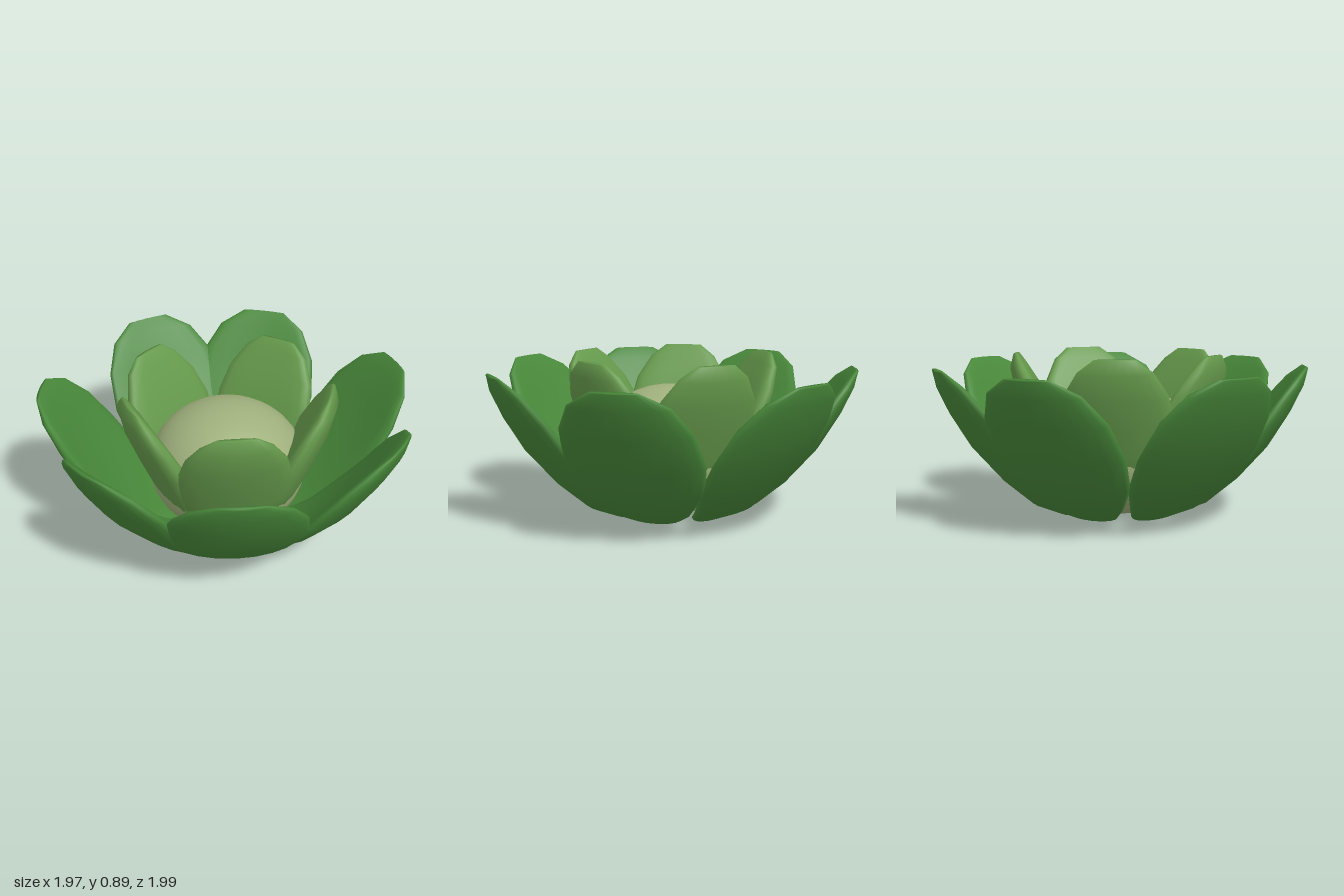
import * as THREE from 'three';

const SIDES = 20;

// Cupped petal, a flat pad with rounded rims in cross-section; rows run tip to base: [radius, height, halfWidth, halfThickness]
function petalGeometry(rows, cup) {
  const pos = [], idx = [];
  rows.forEach(([r, y, w, t], i) => {
    const a = rows[Math.max(i - 1, 0)], b = rows[Math.min(i + 1, rows.length - 1)];
    const n = new THREE.Vector2(a[1] - b[1], b[0] - a[0]).normalize();
    for (let j = 0; j < SIDES; j++) {
      const ang = (j / SIDES) * Math.PI * 2, sin = Math.sin(ang);
      const x = w * Math.cos(ang), s = t * Math.sign(sin) * Math.abs(sin) ** 0.75;
      pos.push(x, y + n.y * s, r + n.x * s - cup * x * x);
    }
  });
  for (let i = 0; i < rows.length - 1; i++) {
    for (let j = 0; j < SIDES; j++) {
      const k = (j + 1) % SIDES;
      const A = i * SIDES + j, B = i * SIDES + k, C = A + SIDES, D = B + SIDES;
      idx.push(A, B, D, A, D, C);
    }
  }
  // close the tip and the base
  const last = (rows.length - 1) * SIDES, tip = pos.length / 3, base = tip + 1;
  const end = rows[rows.length - 1];
  pos.push(0, rows[0][1], rows[0][0], 0, end[1], end[0]);
  for (let j = 0; j < SIDES; j++) {
    const k = (j + 1) % SIDES;
    idx.push(tip, k, j, base, last + j, last + k);
  }
  const g = new THREE.BufferGeometry();
  g.setAttribute('position', new THREE.Float32BufferAttribute(pos, 3));
  g.setIndex(idx);
  g.computeVertexNormals();
  return g;
}

// Ring of equal petals at the given headings (degrees from +x towards -z)
function petalRing(name, geometry, color, headings) {
  const ring = new THREE.Group();
  ring.name = name + 's';
  const material = new THREE.MeshStandardMaterial({ color });
  headings.forEach((deg) => {
    const petal = new THREE.Mesh(geometry, material);
    petal.name = name;
    petal.rotation.y = THREE.MathUtils.degToRad(deg + 90);
    ring.add(petal);
  });
  return ring;
}

export function createModel() {
  const flower = new THREE.Group();
  flower.name = 'flower';

  // flattened round heart
  const heart = new THREE.Mesh(
    new THREE.SphereGeometry(0.435, 32, 20),
    new THREE.MeshStandardMaterial({ color: 0x9fb07c })
  );
  heart.name = 'heart';
  heart.scale.y = 0.36 / 0.435;
  heart.position.y = 0.361;
  flower.add(heart);

  // upright inner petals
  const inner = petalGeometry([
    [0.56, 0.885, 0.105, 0.015], [0.55, 0.82, 0.19, 0.045], [0.505, 0.7, 0.265, 0.065],
    [0.44, 0.55, 0.3, 0.075], [0.385, 0.4, 0.295, 0.07], [0.33, 0.25, 0.24, 0.06],
    [0.24, 0.13, 0.16, 0.04], [0.15, 0.07, 0.07, 0.01],
  ], 0.5);
  flower.add(petalRing('innerPetal', inner, 0x669a4c, [86, 15, -57, -126, 170]));

  // spreading outer petals
  const outer = petalGeometry([
    [1.003, 0.82, 0.122, 0.012], [0.963, 0.745, 0.255, 0.035], [0.885, 0.61, 0.338, 0.048],
    [0.77, 0.43, 0.365, 0.053], [0.62, 0.26, 0.325, 0.053], [0.47, 0.125, 0.23, 0.048],
    [0.34, 0.055, 0.145, 0.033], [0.25, 0.03, 0.07, 0.01],
  ], 0.55);
  flower.add(petalRing('outerPetal', outer, 0x48883a, [-3, 47, 104.5, 147, -154, -104.5, -58.5]));

  flower.position.x = -0.028;
  const model = new THREE.Group();
  model.name = 'model';
  model.add(flower);
  return model;
}
